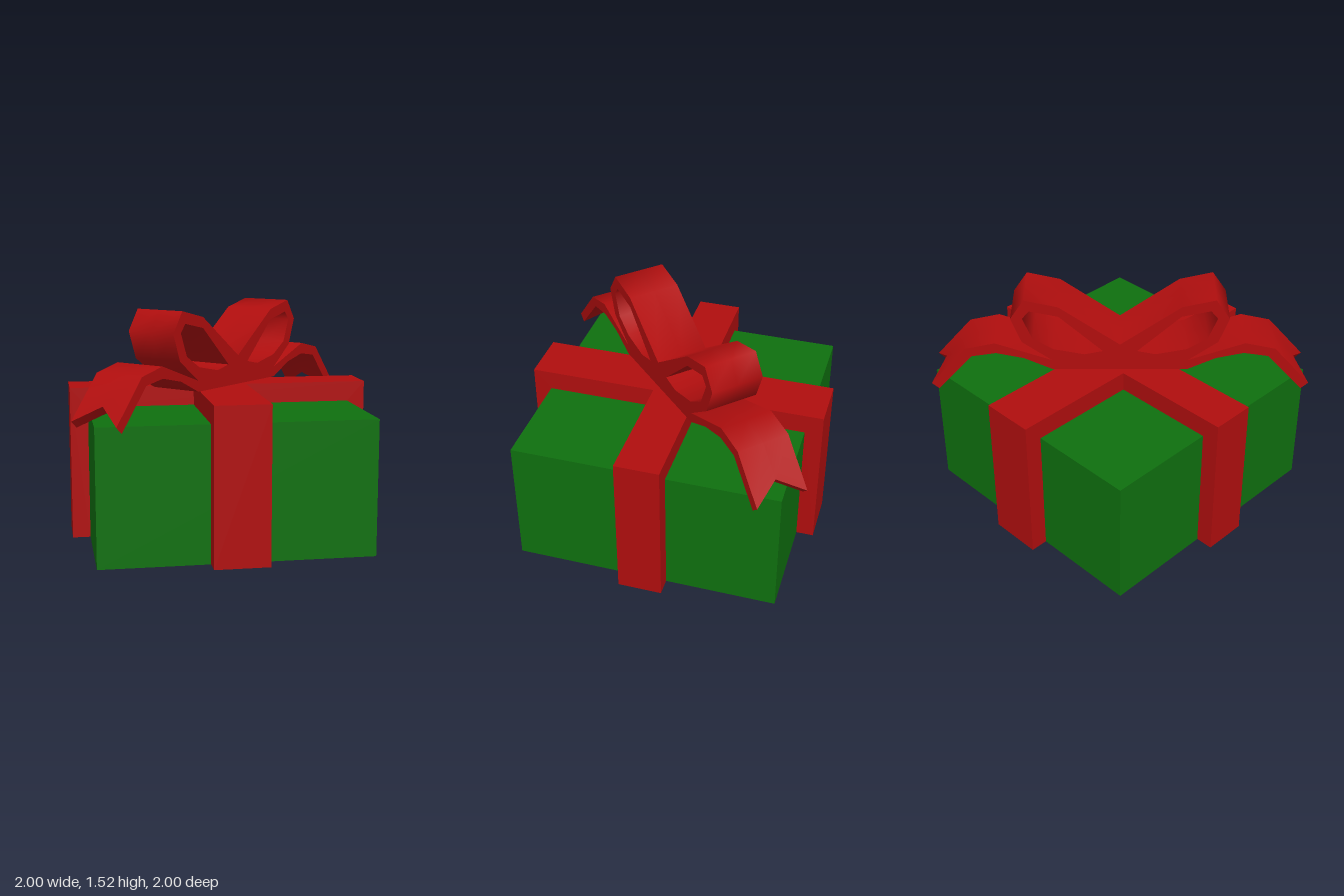
import * as THREE from 'three';
import { toCreasedNormals } from 'three/addons/utils/BufferGeometryUtils.js';

const BOX = 0.87;          // half width and height of the box
const BAND = 0.985;        // half span of the ribbon bands
const BOW_WIDTH = 0.354;

const toPoints = (list) => list.map(([x, y]) => new THREE.Vector2(x, y));
const mirror = (list) => list.map(([x, y]) => [-x, y]).reverse();

// Inverted U that wraps over the box, extruded along z
function bandGeometry(width) {
  const shape = new THREE.Shape(toPoints([
    [-BAND, 0], [-BOX, 0], [-BOX, BOX], [BOX, BOX],
    [BOX, 0], [BAND, 0], [BAND, 1], [-BAND, 1],
  ]));
  const geo = new THREE.ExtrudeGeometry(shape, { depth: width, bevelEnabled: false });
  return geo.translate(0, 0, -width / 2);
}

// Bow silhouette with two loop openings, extruded to the ribbon width
function bowGeometry() {
  const half = [
    [0.44, 1.0], [0.62, 1.085], [0.8, 1.125], [0.96, 1.1], [1.19, 0.845], // tail underside
    [1.237, 0.888], [1.0, 1.157], [0.805, 1.2], [0.44, 1.07],             // tail top
    [0.63, 1.21], [0.695, 1.385], [0.605, 1.52], [0.39, 1.47],            // loop
  ];
  const opening = [
    [0.11, 1.14], [0.23, 1.115], [0.43, 1.155], [0.56, 1.235],
    [0.62, 1.385], [0.575, 1.44], [0.39, 1.4],
  ];
  const shape = new THREE.Shape(toPoints([[0, 0.988], ...half, [0, 1.19], ...mirror(half)]));
  shape.holes.push(new THREE.Path(toPoints(opening)), new THREE.Path(toPoints(mirror(opening))));
  const geo = new THREE.ExtrudeGeometry(shape, { depth: BOW_WIDTH, steps: 2, bevelEnabled: false });
  geo.translate(0, 0, -BOW_WIDTH / 2);

  // Swallowtail ends: pull the middle of each tip back along the tail
  const pos = geo.attributes.position;
  for (let i = 0; i < pos.count; i++) {
    const x = pos.getX(i);
    if (Math.abs(pos.getZ(i)) < 0.01 && Math.abs(x) > 1.1) {
      pos.setX(i, x - Math.sign(x) * 0.085);
      pos.setY(i, pos.getY(i) + 0.0965);
    }
  }
  return toCreasedNormals(geo, 1.3);
}

export function createModel() {
  const green = new THREE.MeshStandardMaterial({ color: 0x0f700f });
  green.name = 'wrapping green';
  const red = new THREE.MeshStandardMaterial({ color: 0xb00e0e });
  red.name = 'ribbon red';

  const model = new THREE.Group();
  model.name = 'giftBox';
  const add = (name, geometry, material) => {
    const mesh = new THREE.Mesh(geometry, material);
    mesh.name = name;
    model.add(mesh);
    return mesh;
  };

  // Box
  add('box', new THREE.BoxGeometry(2 * BOX, BOX, 2 * BOX), green).position.y = BOX / 2;

  // Crossed ribbon bands
  add('sideToSideBand', bandGeometry(0.29), red);
  add('frontToBackBand', bandGeometry(0.35), red).rotation.y = Math.PI / 2;

  // Bow set along the diagonal
  add('bow', bowGeometry(), red).rotation.y = Math.PI / 4;

  return model;
}
